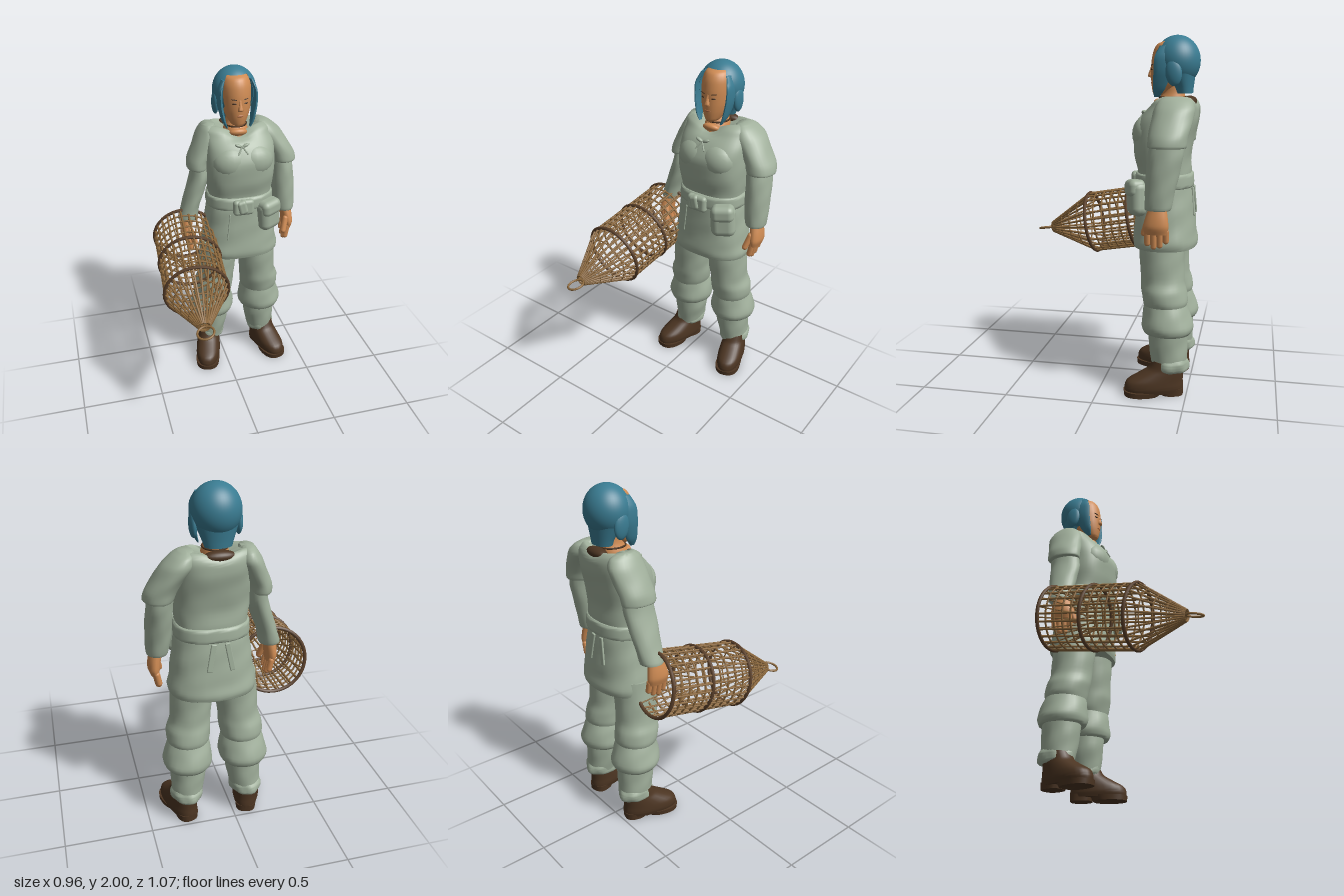
import * as THREE from 'three';
import { toCreasedNormals } from 'three/addons/utils/BufferGeometryUtils.js';
import { RoundedBoxGeometry } from 'three/addons/geometries/RoundedBoxGeometry.js';

const mat = (name, color) => Object.assign(new THREE.MeshStandardMaterial({ color }), { name });
const cloth = mat('sage cloth', 0xa1b09c);
const hair = mat('blue hair', 0x3a7c92);
hair.side = THREE.DoubleSide;
const skin = mat('skin', 0xd08c54);
const lip = mat('lips', 0xb87248);
const leather = mat('boot leather', 0x4c3522);
const wicker = mat('wicker', 0x8e6a3e);
const hoop = mat('dark wicker', 0x5d422c);

function add(parent, name, geometry, material, position = [0, 0, 0], scale = [1, 1, 1], rotation = [0, 0, 0]) {
  const m = new THREE.Mesh(geometry, material);
  m.name = name;
  m.position.set(...position);
  m.scale.set(...scale);
  m.rotation.set(...rotation);
  parent.add(m);
  return m;
}

// Closed loft through cross-sections [y, centre x, centre z, radius x, radius z], bottom to top.
// side mirrors the centre x, power squares the section, ripple adds folds, drop lowers points.
function loft(rows, { side = 1, power = 2, ripple = 0, n = 28, steps = 4, drop = () => 0 } = {}) {
  const centres = new THREE.CatmullRomCurve3(rows.map(r => new THREE.Vector3(r[1] * side, r[0], r[2])), false, 'catmullrom', 0.4);
  const radii = new THREE.CatmullRomCurve3(rows.map(r => new THREE.Vector3(r[3], r[4], 0)), false, 'catmullrom', 0.4);
  const count = (rows.length - 1) * steps;
  const pos = [], idx = [];
  const bend = v => Math.sign(v) * Math.abs(v) ** (2 / power);
  const put = (x, y, z) => pos.push(x, y - drop(x, y, z), z);
  for (let i = 0; i <= count; i++) {
    const c = centres.getPoint(i / count), r = radii.getPoint(i / count);
    for (let j = 0; j < n; j++) {
      const a = j / n * Math.PI * 2;
      const k = 1 + ripple * (Math.sin(3 * a + 45 * c.y) + 0.6 * Math.sin(7 * a - 30 * c.y));
      put(c.x + r.x * k * bend(Math.cos(a)), c.y, c.z + r.y * k * bend(Math.sin(a)));
      if (i < count) {
        const p = i * n + j, q = i * n + (j + 1) % n;
        idx.push(p, p + n, q, q, p + n, q + n);
      }
    }
  }
  const base = pos.length / 3, last = count * n;
  for (const t of [0, 1]) put(...centres.getPoint(t).toArray());
  for (let j = 0; j < n; j++) {
    const k = (j + 1) % n;
    idx.push(base, j, k, base + 1, last + k, last + j);
  }
  const g = new THREE.BufferGeometry();
  g.setAttribute('position', new THREE.Float32BufferAttribute(pos, 3));
  g.setIndex(idx);
  return toCreasedNormals(g, 1.0);
}

const ball = new THREE.SphereGeometry(1, 20, 14);

// Straight round stick between two points
function rod(parent, name, a, b, radius, material) {
  const p = new THREE.Vector3(...a), d = new THREE.Vector3(...b).sub(p);
  const m = add(parent, name, new THREE.CylinderGeometry(radius, radius, d.length(), 6), material);
  m.position.copy(p).addScaledVector(d, 0.5);
  m.quaternion.setFromUnitVectors(new THREE.Vector3(0, 1, 0), d.normalize());
}

function buildClothes(body) {
  const x = 0.013;
  // Neckline dips at the front and a little at the back
  const neckline = (px, y, z) => Math.exp(-((px / 0.075) ** 2)) * THREE.MathUtils.clamp((y - 1.59) / 0.06, 0, 1) * (z > -0.39 ? 0.042 : 0.022);
  add(body, 'tunicTop', loft([
    [1.2, x, -0.34, 0.195, 0.145], [1.26, x, -0.34, 0.196, 0.148], [1.35, x, -0.328, 0.209, 0.156],
    [1.47, x, -0.335, 0.213, 0.17], [1.55, x, -0.36, 0.212, 0.16], [1.61, 0.008, -0.385, 0.211, 0.135],
    [1.645, 0.005, -0.393, 0.206, 0.115], [1.667, 0.004, -0.4, 0.17, 0.085], [1.65, 0, -0.385, 0.085, 0.08],
  ], { power: 2.5, ripple: 0.006, n: 48, drop: neckline }), cloth);
  for (const s of [-1, 1]) add(body, 'chest', ball, cloth, [x + s * 0.07, 1.465, -0.26], [0.12, 0.11, 0.096]);
  add(body, 'tunicSkirt', loft([
    [0.845, x, -0.35, 0.225, 0.16], [0.835, x, -0.35, 0.24, 0.175], [0.87, x, -0.35, 0.246, 0.182],
    [0.93, x, -0.348, 0.236, 0.174], [1.05, x, -0.345, 0.22, 0.165], [1.16, x, -0.34, 0.205, 0.157], [1.2, x, -0.34, 0.197, 0.15],
  ], { power: 2.4, ripple: 0.008 }), cloth);
  add(body, 'belt', loft([
    [1.17, x, -0.34, 0.201, 0.155], [1.18, x, -0.34, 0.208, 0.164], [1.24, x, -0.34, 0.206, 0.161], [1.25, x, -0.34, 0.197, 0.15],
  ], { power: 2.4 }), cloth);
  // Belt knot, hanging flap and back straps
  add(body, 'beltKnot', new RoundedBoxGeometry(0.13, 0.1, 0.05, 3, 0.022), cloth, [0, 1.195, -0.18]);
  add(body, 'beltKnotFold', new RoundedBoxGeometry(0.06, 0.09, 0.05, 3, 0.02), cloth, [-0.01, 1.2, -0.17], [1, 1, 1], [0, 0, 0.25]);
  add(body, 'frontFlap', new RoundedBoxGeometry(0.008, 0.18, 0.008, 2, 0.003), cloth, [-0.09, 1.06, -0.186], [1, 1, 1], [0, 0, -0.1]);
  for (const s of [-1, 1]) {
    add(body, 'backStrap', new RoundedBoxGeometry(0.03, 0.16, 0.012, 2, 0.005), cloth, [s * 0.05, 1.09, -0.507], [1, 1, 1], [0.08, 0, s * 0.18]);
  }
  // Hip pouch
  const pouch = new THREE.Group();
  pouch.name = 'pouch';
  pouch.position.set(0.167, 1.115, -0.207);
  pouch.rotation.set(0, 0.45, 0.08);
  add(pouch, 'pouchBag', new RoundedBoxGeometry(0.15, 0.195, 0.1, 4, 0.045), cloth);
  add(pouch, 'pouchFlap', new RoundedBoxGeometry(0.138, 0.1, 0.1, 4, 0.035), cloth, [0, 0.055, 0.01]);
  body.add(pouch);
  // Neckline lacing
  for (const s of [-1, 1]) {
    add(body, 'laceBow', ball, cloth, [s * 0.022, 1.578, -0.217], [0.024, 0.01, 0.012], [0, 0, s * 0.4]);
    rod(body, 'lace', [0, 1.575, -0.212], [s * 0.03, 1.53, -0.186], 0.005, cloth);
  }
}

function buildLimbs(body, s) {
  // The right upper arm hangs closer to the body and is slimmer seen from the front
  const lr = (left, right) => s > 0 ? left : right;
  const w = lr(1, 0.8);
  add(body, 'shortSleeve', loft([
    [1.405, lr(0.3, 0.238), -0.383, 0.07 * w, 0.088], [1.412, lr(0.302, 0.238), -0.383, 0.082 * w, 0.103], [1.46, lr(0.288, 0.23), -0.388, 0.084 * w, 0.106],
    [1.53, lr(0.246, 0.2), -0.398, 0.084 * w, 0.11], [1.6, lr(0.2, 0.17), -0.41, 0.084 * w, 0.11],
    [1.645, lr(0.172, 0.162), -0.41, 0.062 * w, 0.09], [1.668, 0.16, -0.405, 0.035, 0.055],
  ], { side: s, ripple: 0.012 }), cloth);
  add(body, 'longSleeve', loft([
    [1.08, 0.312, lr(-0.343, -0.36), 0.05, 0.055], [1.085, 0.312, lr(-0.343, -0.36), 0.06, 0.07], [1.16, lr(0.307, 0.293), lr(-0.35, -0.365), 0.069 * w, 0.078],
    [1.26, lr(0.302, 0.26), lr(-0.362, -0.37), 0.072 * w, 0.088], [1.36, lr(0.297, 0.23), -0.376, 0.07 * w, 0.095], [1.45, lr(0.285, 0.22), -0.385, 0.068 * w, 0.09],
  ], { side: s, ripple: 0.012 }), cloth);
  add(body, 'palm', loft([
    [0.95, 0.328, -0.335, 0.024, 0.06], [0.99, 0.332, -0.335, 0.033, 0.068], [1.04, 0.327, -0.338, 0.035, 0.06], [1.1, 0.315, -0.343, 0.036, 0.044],
  ], { side: s, n: 16 }), skin);
  for (let i = 0; i < 4; i++) {
    const len = [0.07, 0.088, 0.08, 0.055][i], z = -0.288 - i * 0.033;
    add(body, 'finger', new THREE.CapsuleGeometry(0.017, len, 4, 10), skin, [s * 0.318, 0.967 - len / 2, z], [1, 1, 1], [0, 0, -s * 0.2]);
  }
  add(body, 'thumb', new THREE.CapsuleGeometry(0.018, 0.08, 4, 10), skin, [s * 0.3, 0.985, -0.278], [1, 1, 1], [-0.3, 0, -s * 0.25]);
  // Baggy trouser leg with overhanging knee cuff
  add(body, 'trouserThigh', loft([
    [0.5, 0.157, -0.37, 0.11, 0.115], [0.54, 0.157, -0.37, 0.124, 0.126], [0.6, 0.152, -0.36, 0.125, 0.128],
    [0.66, 0.14, -0.352, 0.116, 0.122], [0.78, 0.13, -0.345, 0.12, 0.126], [0.92, 0.12, -0.345, 0.118, 0.13],
  ], { side: s, ripple: 0.01 }), cloth);
  add(body, 'kneeCuff', loft([
    [0.365, 0.165, -0.387, 0.105, 0.11], [0.36, 0.165, -0.386, 0.128, 0.132], [0.4, 0.165, -0.384, 0.143, 0.146],
    [0.47, 0.16, -0.378, 0.13, 0.133], [0.535, 0.157, -0.37, 0.112, 0.115],
  ], { side: s, ripple: 0.012 }), cloth);
  add(body, 'trouserCalf', loft([
    [0.15, 0.178, -0.4, 0.083, 0.098], [0.22, 0.172, -0.396, 0.093, 0.104], [0.3, 0.165, -0.39, 0.102, 0.11], [0.42, 0.164, -0.388, 0.106, 0.114],
  ], { side: s, ripple: 0.012 }), cloth);
  add(body, 'ankleGather', loft([
    [0.14, 0.178, -0.405, 0.078, 0.09], [0.155, 0.178, -0.405, 0.09, 0.103], [0.19, 0.178, -0.405, 0.092, 0.105], [0.215, 0.175, -0.4, 0.085, 0.098],
  ], { side: s, ripple: 0.045, n: 40 }), cloth);
  // Boot turned outwards
  const boot = new THREE.Group();
  boot.name = 'boot';
  boot.position.set(s * 0.187, 0, -0.4);
  boot.rotation.y = s * 0.28;
  add(boot, 'bootUpper', loft([
    [0.02, 0, 0.085, 0.072, 0.167], [0.05, 0, 0.085, 0.08, 0.168], [0.085, 0, 0.078, 0.079, 0.158],
    [0.125, 0, 0.042, 0.074, 0.122], [0.155, 0, 0.018, 0.07, 0.098], [0.2, 0, 0.005, 0.068, 0.085],
  ], { power: 2.3 }), leather);
  add(boot, 'bootSole', loft([[0, 0, 0.155, 0.076, 0.1], [0.03, 0, 0.145, 0.08, 0.113]], { power: 2.4, steps: 1 }), leather);
  add(boot, 'bootHeel', loft([[0, 0, -0.015, 0.058, 0.065], [0.04, 0, -0.012, 0.062, 0.07]], { power: 2.6, steps: 1 }), leather);
  body.add(boot);
}

function buildHead(body) {
  add(body, 'neck', loft([[1.6, 0, -0.365, 0.078, 0.085], [1.64, 0, -0.37, 0.072, 0.08], [1.69, 0, -0.38, 0.057, 0.062], [1.76, 0, -0.38, 0.055, 0.06]]), skin);
  add(body, 'openNeckline', ball, skin, [0, 1.628, -0.305], [0.055, 0.024, 0.036], [-0.5, 0, 0]);
  add(body, 'necklace', new THREE.TorusGeometry(0.066, 0.005, 6, 28), leather, [0, 1.664, -0.375], [1, 1.12, 1], [Math.PI / 2, 0, 0]);
  add(body, 'backCollar', ball, leather, [0, 1.642, -0.473], [0.085, 0.03, 0.038]);
  add(body, 'face', loft([
    [1.672, 0, -0.31, 0.022, 0.035], [1.685, 0, -0.318, 0.042, 0.053], [1.73, 0, -0.345, 0.068, 0.089],
    [1.78, 0, -0.353, 0.082, 0.1], [1.85, 0, -0.358, 0.088, 0.104], [1.91, 0, -0.365, 0.086, 0.101], [1.95, 0, -0.37, 0.07, 0.085], [1.97, 0, -0.38, 0.04, 0.05],
  ]), skin);
  // Features
  add(body, 'nose', loft([[1.772, 0, -0.254, 0.015, 0.01], [1.78, 0, -0.253, 0.016, 0.018], [1.81, 0, -0.256, 0.009, 0.012], [1.84, 0, -0.26, 0.007, 0.006]], { n: 12 }), skin);
  add(body, 'mouth', ball, lip, [0, 1.742, -0.259], [0.021, 0.007, 0.006]);
  for (const s of [-1, 1]) {
    add(body, 'eye', ball, leather, [s * 0.035, 1.816, -0.261], [0.013, 0.005, 0.004], [0, s * 0.4, 0]);
    add(body, 'eyebrow', ball, leather, [s * 0.036, 1.84, -0.262], [0.018, 0.003, 0.004], [0, s * 0.4, s * 0.12]);
  }
  // Hair: shell open at the face, crown, side locks, buns and nape
  const size = [0.13, 0.14, 0.128], centre = [0, 1.86, -0.398];
  add(body, 'hairShell', new THREE.SphereGeometry(1, 36, 24, Math.PI / 2 + 0.76, Math.PI * 2 - 1.52, 0, 2.5), hair, centre, size);
  add(body, 'hairCrown', new THREE.SphereGeometry(1, 32, 8, 0, Math.PI * 2, 0, 0.72), hair, centre, size);
  add(body, 'napeHair', loft([[1.685, 0, -0.44, 0.072, 0.048], [1.72, 0, -0.435, 0.083, 0.056], [1.79, 0, -0.415, 0.11, 0.085]]), hair);
  for (const s of [-1, 1]) {
    add(body, 'sideLock', loft([
      [1.665, 0.07, -0.295, 0.005, 0.014], [1.71, 0.088, -0.31, 0.011, 0.034], [1.8, 0.104, -0.33, 0.015, 0.05], [1.88, 0.104, -0.335, 0.013, 0.05], [1.94, 0.082, -0.345, 0.01, 0.035],
    ], { side: s, n: 14 }), hair);
    add(body, 'sideBun', ball, hair, [s * 0.117, 1.795, -0.392], [0.021, 0.072, 0.045], [0.1, 0, 0]);
  }
}

// Wicker fish trap; local z runs along its axis, the front hoop is at z = 0
function buildBasket() {
  const basket = new THREE.Group();
  basket.name = 'basket';
  basket.position.set(-0.28, 0.865, 0.16);
  basket.quaternion.setFromUnitVectors(new THREE.Vector3(0, 0, 1), new THREE.Vector3(-0.07, -0.175, 1).normalize());
  const R = 0.184, back = -0.54, tip = 0.285;
  const at = (a, r, z) => [Math.cos(a) * r, Math.sin(a) * r, z];
  const ring = (name, r, tube, z, m) => add(basket, name, new THREE.TorusGeometry(r, tube, 6, 40), m, [0, 0, z]);
  for (const z of [back, back / 2, 0]) ring('mainHoop', R + 0.003, 0.0105, z, hoop);
  for (let i = 1; i < 10; i++) if (i !== 5) ring('wovenHoop', R, 0.0055, back * i / 10, wicker);
  for (const z of [0.07, 0.135, 0.2]) ring('coneHoop', R - (R - 0.03) * z / tip, 0.004, z, wicker);
  for (let i = 0; i < 26; i++) {
    const a = i / 26 * Math.PI * 2;
    rod(basket, 'slat', at(a, R, back), at(a, R, 0), 0.0065, wicker);
    rod(basket, 'coneSlat', at(a, R, 0), at(a, 0.03, tip), 0.006, wicker);
  }
  // Entry funnel inside the open end
  for (let i = 0; i < 18; i++) {
    const a = i / 18 * Math.PI * 2;
    rod(basket, 'funnelSlat', at(a, R - 0.01, back), at(a + 0.2, 0.075, back + 0.25), 0.004, wicker);
  }
  ring('tipBinding', 0.03, 0.006, tip - 0.005, wicker);
  add(basket, 'pullLoop', new THREE.TorusGeometry(0.047, 0.0065, 8, 32), wicker, [0, 0, 0.33], [1, 1, 1], [Math.PI / 2, 0.2, 0]);
  return basket;
}

export function createModel() {
  const model = new THREE.Group();
  model.name = 'fisher';
  const body = new THREE.Group();
  body.name = 'body';
  body.position.x = 0.095;
  buildClothes(body);
  for (const s of [-1, 1]) buildLimbs(body, s);
  buildHead(body);
  model.add(body, buildBasket());
  return model;
}
